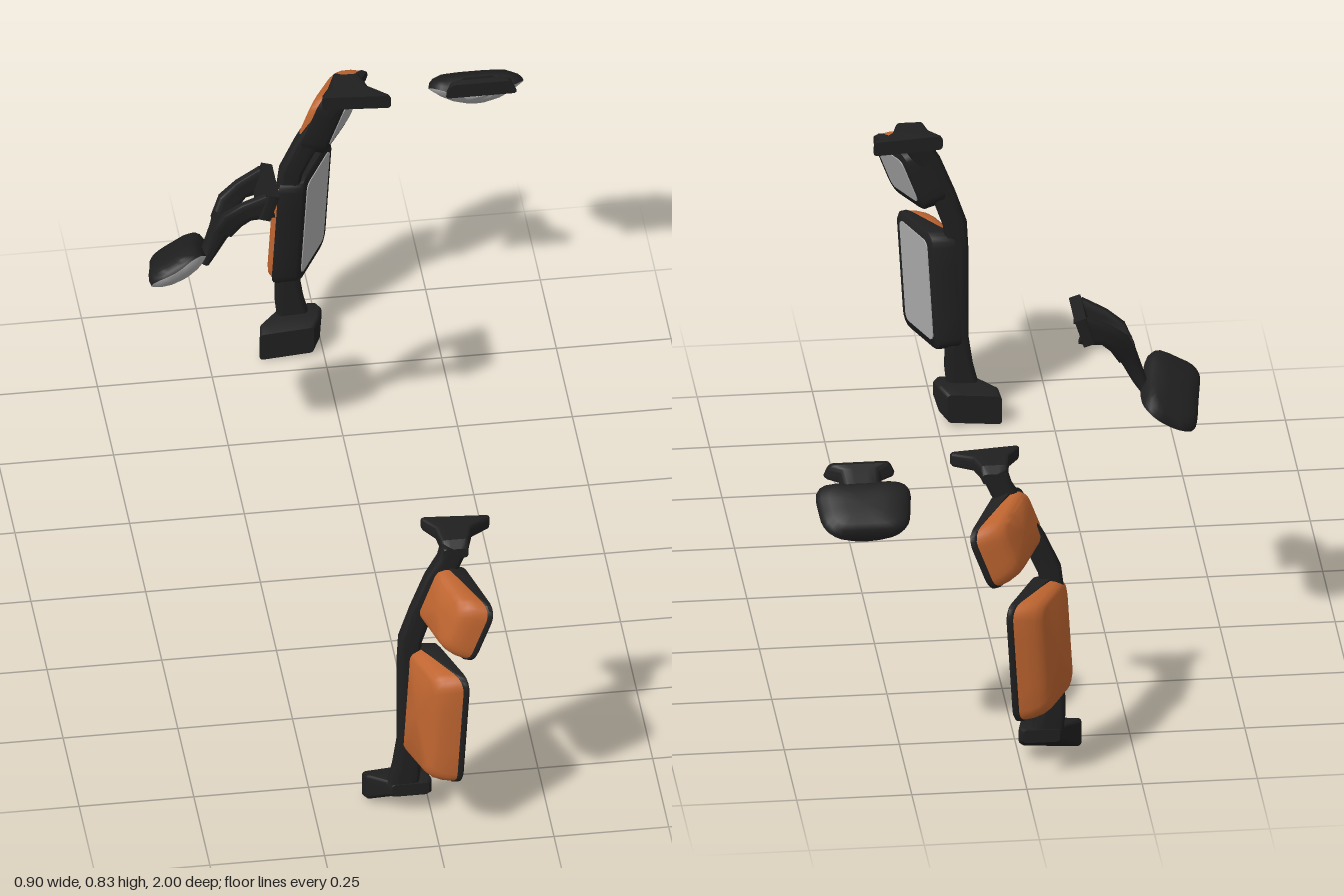
import * as THREE from 'three';
import { toCreasedNormals } from 'three/addons/utils/BufferGeometryUtils.js';

const mat = (name, color) => {
  const m = new THREE.MeshStandardMaterial({ color });
  m.name = name;
  return m;
};

// Rounded rectangle outline, w by h, placed in space by the function f(u, v)
function ring(w, h, r, f) {
  const pts = [], n = 5, m = 4;
  r = Math.min(r, w / 2, h / 2);
  const corners = [[1, 1], [-1, 1], [-1, -1], [1, -1]].map(([a, b], q) =>
    Array.from({ length: n }, (_, i) => {
      const t = (q + i / (n - 1)) * Math.PI / 2;
      return [a * (w / 2 - r) + r * Math.cos(t), b * (h / 2 - r) + r * Math.sin(t)];
    }));
  corners.forEach((c, q) => {
    pts.push(...c);
    const [p, e] = [c[n - 1], corners[(q + 1) % 4][0]];
    for (let i = 1; i < m; i++) pts.push([0, 1].map((k) => p[k] + (e[k] - p[k]) * i / m));
  });
  return pts.map(([u, v]) => f(u, v));
}

// Closed skin over a stack of outlines, turned outward whichever way they run
function loft(rings, crease = 0.75) {
  const n = rings[0].length, pos = rings.flat(2), idx = [];
  // Each end is closed by a fan around its middle point
  const middle = (r) => [0, 1, 2].map((k) => r.reduce((s, p) => s + p[k], 0) / n);
  const last = (rings.length - 1) * n, c0 = rings.length * n, c1 = c0 + 1;
  pos.push(...middle(rings[0]), ...middle(rings[rings.length - 1]));
  for (let i = 0; i < n; i++) {
    const j = (i + 1) % n;
    for (let k = 0; k < last; k += n) idx.push(k + i, k + j, k + j + n, k + i, k + j + n, k + i + n);
    idx.push(c0, j, i, c1, last + i, last + j);
  }
  const P = (i) => new THREE.Vector3().fromArray(pos, i * 3);
  const origin = P(0);
  let volume = 0;
  for (let i = 0; i < idx.length; i += 3) {
    const [a, b, c] = [0, 1, 2].map((j) => P(idx[i + j]).sub(origin));
    volume += a.dot(b.cross(c));
  }
  if (volume < 0) idx.reverse();
  const g = new THREE.BufferGeometry();
  g.setAttribute('position', new THREE.Float32BufferAttribute(pos, 3));
  g.setIndex(idx);
  return toCreasedNormals(g, crease);
}

// Bar along a path of [x, y, z, width, depth]; depth runs along z
function sweep(path, r = 0.012) {
  return loft(path.map(([x, y, z, w, d], i) => {
    const a = path[Math.max(0, i - 1)], b = path[Math.min(path.length - 1, i + 1)];
    const l = Math.hypot(b[0] - a[0], b[1] - a[1]);
    const nx = (b[1] - a[1]) / l, ny = -(b[0] - a[0]) / l;
    return ring(w, d, r, (u, v) => [x + nx * u, y + ny * u, z + v]);
  }));
}

export function createModel() {
  const model = new THREE.Group();
  const black = mat('black plastic', 0x202020);
  const orange = mat('orange paint', 0xbf6530);
  const silver = mat('mirror glass', 0xacacac);
  const add = (parent, name, geo, m) => {
    const mesh = new THREE.Mesh(geo, m);
    mesh.name = name;
    parent.add(mesh);
  };
  const group = (parent, name) => {
    const g = new THREE.Group();
    g.name = name;
    parent.add(g);
    return g;
  };

  // Flat mirror: painted shell, black rim and glass, facing local +z
  function flatMirror(parent, name, s, x, y, z, w, h, yaw, lean) {
    const g = group(parent, name);
    g.position.set(x, y, z * s);
    g.rotation.set(0, Math.PI / 2 + s * yaw, -lean, 'ZYX');
    // Layers of [depth, inset, extra depth on the side next to the cab],
    // skewed so that the side walls run straight back
    const skew = s * Math.tan(yaw);
    const layer = (list, cut, r) => loft(list.map(([depth, inset, slant = 0]) =>
      ring(w - cut - inset, h - cut - inset, r, (u, v) => {
        const d = depth - slant * (0.5 + s * u / w);
        return [u - d * skew, v, d];
      })));
    add(g, 'shell', layer([[-0.012, 0], [-0.035, 0.004], [-0.052, 0.014], [-0.062, 0.028], [-0.066, 0.045]], 0, 0.03), orange);
    add(g, 'rim', layer([[-0.014, 0, 0.036], [-0.012, -0.003, 0.032], [-0.004, -0.001], [0, 0.008]], 0, 0.03), black);
    add(g, 'glass', layer([[-0.002, 0], [0.002, 0]], 0.04, 0.016), silver);
  }

  // Mirror arms at both sides; the right-hand mirrors are turned further inward
  for (const s of [1, -1]) {
    const side = group(model, s > 0 ? 'leftMirrorAssembly' : 'rightMirrorAssembly');
    const [yaw, w, mainX, wideX] = s > 0 ? [0.35, 0.173, 0.032, 0.074] : [0.48, 0.183, -0.003, 0.066];
    flatMirror(side, 'mainMirror', s, mainX, 0.298, 0.917, w, 0.28, yaw, 0.06);
    flatMirror(side, 'wideAngleMirror', s, wideX, 0.557, 0.917, w, 0.148, yaw, 0.36);

    // Arm path: [x, y, z, width, depth, sideways shift with the mirror]
    add(side, 'arm', sweep([
      [-0.06, 0.075, 0.858, 0.068, 0.036, 0], [-0.06, 0.12, 0.858, 0.062, 0.036, 0.008],
      [-0.06, 0.19, 0.858, 0.05, 0.034, 0.012], [-0.06, 0.4, 0.858, 0.05, 0.034, 0.012],
      [-0.054, 0.46, 0.857, 0.052, 0.034, 0.01], [-0.026, 0.53, 0.855, 0.052, 0.034, 0.006],
      [0.012, 0.61, 0.853, 0.052, 0.036, 0], [0.04, 0.655, 0.85, 0.052, 0.04, 0],
      [0.055, 0.695, 0.845, 0.056, 0.046, 0],
    ].map(([x, y, z, wd, d, shift]) => [x + s * shift, y, z * s, wd, d])), black);

    // Brackets: outlines running from the cab outward, [x, y, z, width, height, tilt]
    const bracket = (name, list) => add(side, name, loft(list.map(([x, y, z, wd, h, tilt]) =>
      ring(wd, h, 0.008, (u, v) => [x + u, y + v + u * tilt, z * s])), 0.5), black);
    bracket('upperBracket', [
      [0.067, 0.694, 0.766, 0.15, 0.032, -0.06], [0.067, 0.694, 0.774, 0.146, 0.032, -0.06],
      [0.058, 0.695, 0.805, 0.08, 0.034, -0.04], [0.055, 0.693, 0.85, 0.06, 0.034, 0],
      [0.055, 0.685, 0.868, 0.054, 0.024, 0],
    ]);
    bracket('lowerBracket', [
      [-0.081, 0.039, 0.797, 0.118, 0.066, 0.08], [-0.07, 0.05, 0.825, 0.13, 0.064, 0.07],
      [-0.047, 0.064, 0.86, 0.1, 0.042, 0], [-0.045, 0.068, 0.878, 0.08, 0.03, 0],
    ]);
  }

  // Convex mirror facing local -y: its edge follows the bulge of the glass
  function convexMirror(name, centre, xAxis, zAxis, w, d, taper) {
    const g = group(model, name);
    const x = new THREE.Vector3(...xAxis).normalize();
    const y = new THREE.Vector3(...zAxis).cross(x).normalize();
    const z = x.clone().cross(y);
    g.quaternion.setFromRotationMatrix(new THREE.Matrix4().makeBasis(x, y, z));
    g.position.set(...centre);
    const half = Math.max(w, d) / 2;
    const layer = (list) => loft(list.map(([h, k, bend]) =>
      ring(w * k, d * k, 0.04 * k, (u, v) =>
        [u * (1 + taper * v / d), h + bend * (u * u + v * v) / half ** 2, v])), 0.9);
    add(g, 'housing', layer([[-0.025, 1, 0.036], [0.004, 0.985, 0.016], [0.026, 0.9, 0.004], [0.036, 0.74, 0], [0.039, 0.4, 0]]), black);
    add(g, 'glass', layer([[-0.024, 0.99, 0.036], [-0.026, 0.985, 0.036], [-0.028, 0.75, 0.036], [-0.029, 0.5, 0.036], [-0.029, 0.2, 0.036]]), silver);
  }

  // Front mirror on a forked arm
  convexMirror('frontMirror', [-0.378, 0.612, -0.347], [0.86, 0.5, -0.055], [-0.15, 0.36, 0.92], 0.132, 0.2, 0);
  const fork = group(model, 'frontMirrorArm');
  const cz = -0.338;
  add(fork, 'stem', sweep([
    [-0.328, 0.632, cz, 0.026, 0.05], [-0.314, 0.655, cz, 0.03, 0.042],
    [-0.295, 0.7, cz, 0.038, 0.05], [-0.28, 0.735, cz, 0.046, 0.07],
  ]), black);
  for (const s of [1, -1]) {
    add(fork, 'prong', sweep([
      [-0.288, 0.715, cz + s * 0.02, 0.044, 0.024], [-0.268, 0.755, cz + s * 0.034, 0.05, 0.022],
      [-0.24, 0.779, cz + s * 0.042, 0.046, 0.02], [-0.188, 0.797, cz + s * 0.05, 0.062, 0.02],
    ], 0.006), black);
  }
  add(fork, 'mountingPlate', sweep([
    [-0.201, 0.765, cz, 0.026, 0.122], [-0.181, 0.827, cz, 0.026, 0.122],
  ], 0.003), black);

  // Kerb mirror with its wall bracket
  convexMirror('kerbMirror', [0.34, 0.622, -0.874], [1, 0, 0], [0, 0.53, 0.85], 0.2, 0.134, 0.16);
  add(model, 'kerbMirrorBracket', loft([
    [0.686, -0.788, 0.146, 0.034], [0.688, -0.802, 0.14, 0.034],
    [0.682, -0.812, 0.09, 0.034], [0.662, -0.845, 0.08, 0.034],
  ].map(([y, z, w, h]) => ring(w, h, 0.01, (u, v) => [0.342 + u * (1 - v * 6), y + v, z])), 0.5), black);

  return model;
}
